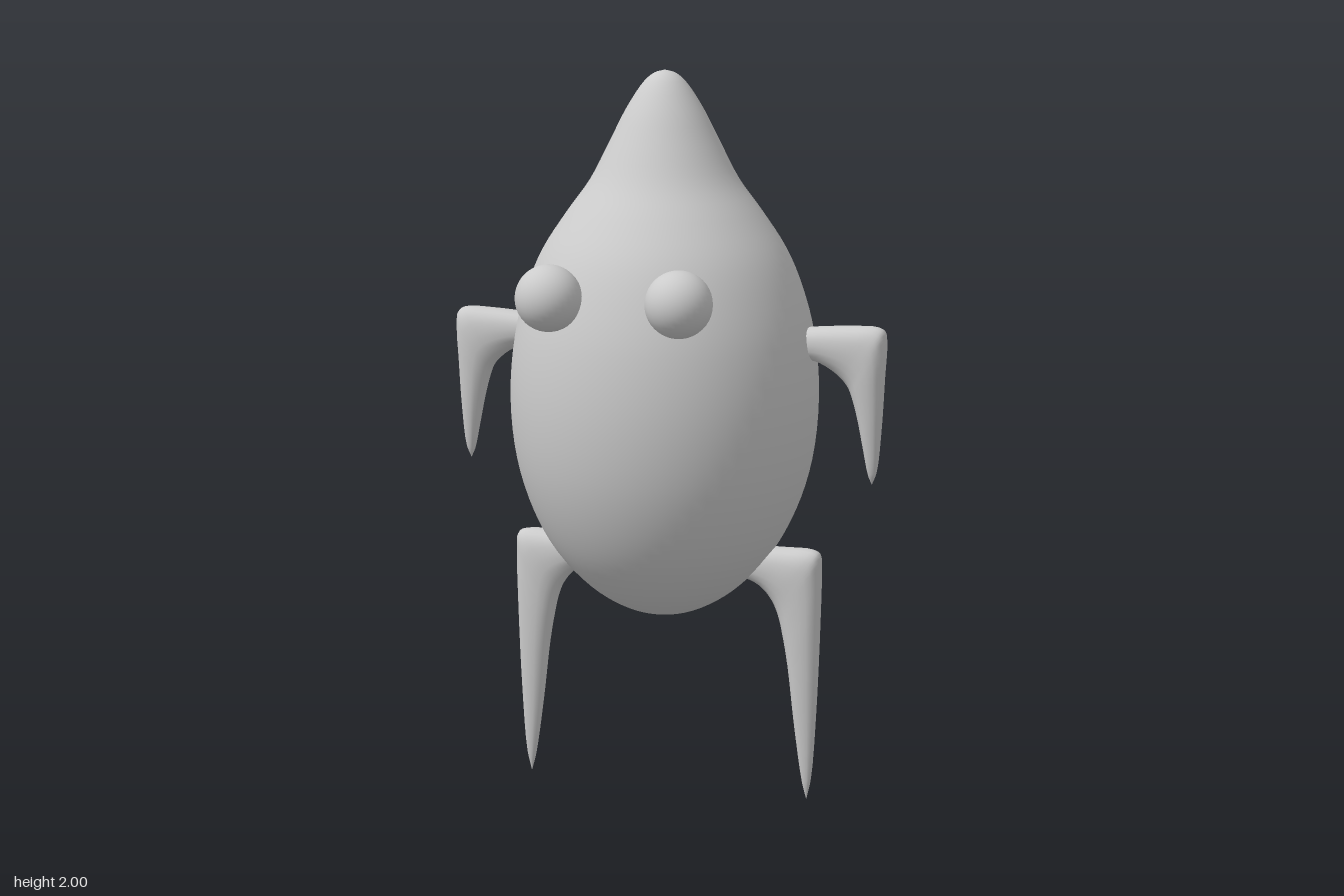
import * as THREE from 'three';

const material = new THREE.MeshStandardMaterial({ color: 0xcccccc, side: THREE.DoubleSide });
const LIMB_Z = -0.037;

function addMesh(parent, name, geometry, x = 0, y = 0, z = 0) {
  const mesh = new THREE.Mesh(geometry, material);
  mesh.name = name;
  mesh.position.set(x, y, z);
  parent.add(mesh);
  return mesh;
}

// Bent, tapering limb: each section is [outerX, outerY, innerX, innerY, halfDepth]
function limbGeometry(sections, side) {
  const sides = 20, perSpan = 4, positions = [], indices = [];
  const outer = new THREE.CatmullRomCurve3(sections.map(s => new THREE.Vector3(s[0], s[1], s[4])), false, 'centripetal');
  const inner = new THREE.CatmullRomCurve3(sections.map(s => new THREE.Vector3(s[2], s[3], 0)), false, 'centripetal');
  const steps = (sections.length - 1) * perSpan;
  for (let i = 0; i <= steps; i++) {
    const o = outer.getPoint(i / steps), n = inner.getPoint(i / steps);
    for (let j = 0; j < sides; j++) {
      const a = (j / sides) * Math.PI * 2;
      const c = Math.cos(a), s = Math.sin(a);
      // slightly squared oval cross-section
      const u = Math.sign(c) * Math.abs(c) ** 0.85, w = Math.sign(s) * Math.abs(s) ** 0.85;
      positions.push(
        side * ((o.x + n.x) / 2 + u * (o.x - n.x) / 2),
        (o.y + n.y) / 2 + u * (o.y - n.y) / 2,
        w * Math.max(o.z, 0));
    }
  }
  for (let i = 0; i < steps; i++) {
    for (let j = 0; j < sides; j++) {
      const k = (j + 1) % sides;
      const a = i * sides + j, b = i * sides + k, c = a + sides, d = b + sides;
      if (side > 0) indices.push(a, b, c, b, d, c);
      else indices.push(a, c, b, b, c, d);
    }
  }
  const geometry = new THREE.BufferGeometry();
  geometry.setAttribute('position', new THREE.Float32BufferAttribute(positions, 3));
  geometry.setIndex(indices);
  geometry.computeVertexNormals();
  return geometry;
}

const armSections = [
  [0.33, 1.315, 0.33, 1.225, 0.047],
  [0.42, 1.326, 0.41, 1.235, 0.048],
  [0.52, 1.333, 0.455, 1.217, 0.05],
  [0.585, 1.333, 0.49, 1.19, 0.05],
  [0.606, 1.322, 0.51, 1.165, 0.05],
  [0.611, 1.29, 0.522, 1.135, 0.049],
  [0.607, 1.2, 0.537, 1.08, 0.043],
  [0.6, 1.05, 0.553, 1.0, 0.03],
  [0.59, 0.94, 0.567, 0.93, 0.014],
  [0.578, 0.905, 0.577, 0.905, 0],
];

const legSections = [
  [0.15, 0.705, 0.15, 0.63, 0.042],
  [0.25, 0.71, 0.235, 0.618, 0.045],
  [0.34, 0.712, 0.275, 0.597, 0.048],
  [0.415, 0.711, 0.305, 0.56, 0.05],
  [0.436, 0.7, 0.322, 0.52, 0.049],
  [0.44, 0.66, 0.335, 0.465, 0.047],
  [0.438, 0.5, 0.35, 0.38, 0.042],
  [0.43, 0.25, 0.37, 0.21, 0.029],
  [0.418, 0.06, 0.393, 0.05, 0.013],
  [0.406, 0, 0.405, 0, 0],
];

export function createModel() {
  const group = new THREE.Group();

  // Egg-shaped body drawn up to a blunt point
  const profile = new THREE.CatmullRomCurve3([
    [0, 0.51], [0.07, 0.518], [0.14, 0.547], [0.215, 0.6], [0.3, 0.695], [0.362, 0.81],
    [0.404, 0.95], [0.42, 1.12], [0.406, 1.29], [0.372, 1.42], [0.33, 1.52], [0.265, 1.62],
    [0.2, 1.71], [0.148, 1.81], [0.102, 1.9], [0.055, 1.97], [0.028, 1.992], [0, 2],
  ].map(([r, y]) => new THREE.Vector3(r, y, 0)));
  const points = profile.getPoints(68).map(p => new THREE.Vector2(Math.max(p.x, 0), p.y));
  addMesh(group, 'body', new THREE.LatheGeometry(points, 64), 0, 0, -0.017);

  // Eyes
  addMesh(group, 'rightEye', new THREE.SphereGeometry(0.088, 32, 20), -0.2, 1.43, 0.348);
  addMesh(group, 'leftEye', new THREE.SphereGeometry(0.088, 32, 20), 0.155, 1.43, 0.348);

  // Arms and legs
  for (const [label, side] of [['left', 1], ['right', -1]]) {
    addMesh(group, label + 'Arm', limbGeometry(armSections, side), 0, 0, LIMB_Z);
    addMesh(group, label + 'Leg', limbGeometry(legSections, side), 0, 0, LIMB_Z);
  }
  return group;
}
